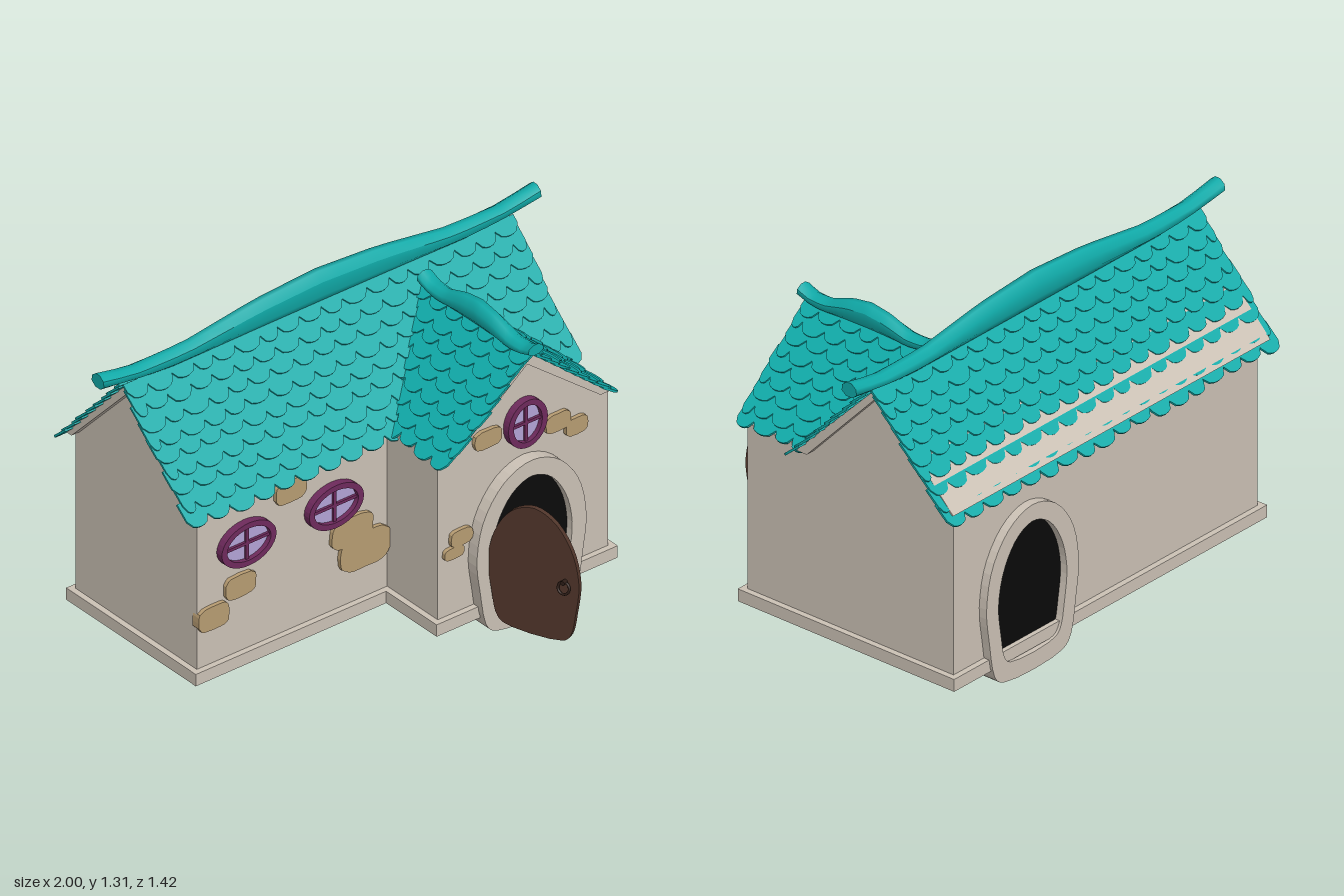
import * as THREE from 'three';

const paint = (name, color, side = THREE.FrontSide) => {
  const m = new THREE.MeshStandardMaterial({ color, side });
  m.name = name;
  return m;
};
const V = (x, y) => new THREE.Vector2(x, y);

// seeded random for uneven shingles and stones
let seed = 7;
const rnd = () => (seed = (seed * 16807) % 2147483647) / 2147483647;

// smooth symmetric outline from half-width/height pairs, bottom to top
function eggPoints(half) {
  const pts = [...half.map(([x, y]) => new THREE.Vector3(x, y, 0)),
    ...half.slice(0, -1).reverse().map(([x, y]) => new THREE.Vector3(-x, y, 0))];
  return new THREE.CatmullRomCurve3(pts, true, 'centripetal').getPoints(48).slice(0, -1).map(p => V(p.x, p.y));
}
const ARCH = [[0.15, 0.003], [0.2, 0.035], [0.236, 0.2], [0.25, 0.34], [0.215, 0.5], [0.12, 0.62], [0, 0.662]];
const OPENING = [[0.12, 0.073], [0.15, 0.1], [0.172, 0.2], [0.185, 0.33], [0.155, 0.46], [0.085, 0.56], [0, 0.595]];

function ellipse(rx, ry) {
  return Array.from({ length: 32 }, (_, i) => V(rx * Math.cos(i * Math.PI / 16), ry * Math.sin(i * Math.PI / 16)));
}

function extrude(points, depth, hole) {
  const shape = new THREE.Shape(points);
  if (hole) shape.holes.push(new THREE.Path(hole));
  return new THREE.ExtrudeGeometry(shape, { depth, bevelEnabled: false });
}

// L-shaped ground plan grown outwards by d (y is -z)
const plan = d => [V(-0.83 - d, -0.03 - d), V(0.04 - d, -0.03 - d), V(0.04 - d, -0.315 - d),
  V(0.82 + d, -0.315 - d), V(0.82 + d, 0.655 + d), V(-0.83 - d, 0.655 + d)];

const lerpList = (list, t) => {
  let i = 1;
  while (i < list.length - 1 && t > list[i][0]) i++;
  const [a, b] = [list[i - 1], list[i]];
  return THREE.MathUtils.lerp(a[1], b[1], (t - a[0]) / (b[0] - a[0]));
};

// ridge cap: an octagonal bar with a humped middle and lifted ends, along x
function ridgeGeometry(halfLength, scale) {
  const top = [[0, 0.13], [0.28, 0.112], [0.6, 0.065], [0.85, 0.062], [1, 0.092]];
  const base = [[0, 0], [0.7, 0], [1, 0.035]];
  const g = new THREE.CylinderGeometry(1, 1, 2, 8, 24, false, Math.PI / 8).rotateZ(Math.PI / 2);
  const p = g.attributes.position;
  for (let i = 0; i < p.count; i++) {
    const t = Math.min(1, Math.abs(p.getX(i)));
    const lo = lerpList(base, t) * scale, hi = lerpList(top, t) * scale;
    const s = p.getY(i) / 0.924;
    const taper = s > 0 ? 1 - 0.2 * s : 1;
    p.setXYZ(i, p.getX(i) * halfLength, (lo + hi) / 2 + s * (hi - lo) / 2, p.getZ(i) * 0.038 * taper);
  }
  g.computeVertexNormals();
  return g;
}

// one course of round-ended shingles from u0 to u1, tips near y = 0
function shingleRow(u0, u1, height, shift) {
  const n = Math.max(2, Math.round((u1 - u0) / 0.098));
  const w = (u1 - u0) / n;
  const pts = [V(u1, height), V(u0, height)];
  const edges = [u0];
  for (let k = 0; k < n; k++) {
    const e = u0 + w * (k + shift) + (rnd() - 0.5) * 0.02;
    if (e > u0 + 0.02 && e < u1 - 0.02) edges.push(e);
  }
  edges.push(u1);
  for (let k = 0; k < edges.length - 1; k++) {
    const drop = (rnd() - 0.5) * 0.014, a = edges[k], b = edges[k + 1];
    for (let j = 0; j <= 6; j++) {
      const s = j / 6;
      pts.push(V(a + (b - a) * (0.01 + 0.98 * s), 0.03 + drop - 0.034 * Math.sqrt(Math.max(0, 1 - (2 * s - 1) ** 2))));
    }
  }
  return extrude(pts, 0.009);
}

export function createModel() {
  const model = new THREE.Group();
  const plaster = paint('plaster', 0xcbc1b5, THREE.DoubleSide);
  const teal = paint('teal shingle', 0x10aaa8, THREE.DoubleSide);
  const wood = paint('dark wood', 0x50352a);
  const iron = paint('dark iron', 0x2c1c16);
  const plum = paint('plum frame', 0x6e2a5c);
  const glass = paint('lilac glass', 0xb3a3d6);
  const stone = paint('tan stone', 0xb79c72);
  const dark = paint('doorway black', 0x0a0a0a);

  const add = (name, geometry, material, x = 0, y = 0, z = 0, parent = model) => {
    const m = new THREE.Mesh(geometry, material);
    m.name = name;
    m.position.set(x, y, z);
    parent.add(m);
    return m;
  };

  // hollow walls and base skirt
  add('walls', extrude(plan(0), 0.72, plan(-0.012)).rotateX(-Math.PI / 2), plaster, 0, 0.07);
  add('skirt', extrude(plan(0.024), 0.05, plan(-0.004)).rotateX(-Math.PI / 2), plaster, 0, 0.07);

  // gable ends and the plaster layer under each roof
  const RZ = -0.315, WX = 0.43;
  const mainGable = () => extrude([V(-0.345, 0.785), V(0.345, 0.785), V(0, 1.14)], 0.012).rotateY(Math.PI / 2);
  add('leftGable', mainGable(), plaster, 0.808, 0, RZ);
  add('rightGable', mainGable(), plaster, -0.83, 0, RZ);
  add('wingGable', extrude([V(-0.39, 0.785), V(0.39, 0.785), V(0, 1.08)], 0.012), plaster, WX, 0, 0.303);
  const chevron = (w, apex, inner, len) => extrude([V(-w, 0.79), V(-w + 0.05, 0.79), V(0, inner),
    V(w - 0.05, 0.79), V(w, 0.79), V(0, apex)], len);
  add('mainRoofLining', chevron(0.37, 1.168, 1.13, 1.72).rotateY(Math.PI / 2), plaster, -0.865, 0, RZ);
  add('wingRoofLining', chevron(0.385, 1.105, 1.055, 0.36), plaster, WX, 0, -0.02);

  // shingled slopes; ends(v) gives the span of a course v below the ridge
  function slope(name, x, y, z, yaw, run, drop, ends) {
    const g = new THREE.Group();
    g.name = name;
    g.position.set(x, y, z);
    g.rotation.set(-Math.atan2(run, drop), yaw, 0, 'YXZ');
    const length = Math.hypot(run, drop), rows = 9, step = length / rows;
    for (let i = 0; i < rows; i++) {
      const v = length - i * step;
      const [u0, u1] = ends(v * drop / length);
      const height = Math.min(step * 1.7, v);
      const row = add('shingleRow', shingleRow(u0, u1, height, i % 2 ? 0.5 : 1), teal, 0, -v, 0.008, g);
      row.rotation.x = -0.1;
    }
    model.add(g);
  }
  const jag = () => (rnd() - 0.5) * 0.015;
  slope('frontRoof', 0, 1.172, RZ, 0, 0.4, 0.415, () => [-0.9 + jag(), 0.885 + jag()]);
  slope('backRoof', 0, 1.172, RZ, Math.PI, 0.385, 0.425, () => [-0.885 + jag(), 0.9 + jag()]);
  const valley = d => RZ + (0.062 + d) * 0.964 - 0.05;
  slope('wingLeftRoof', WX, 1.11, 0, Math.PI / 2, 0.4, 0.34, d => [-0.372 + jag(), -valley(d)]);
  slope('wingRightRoof', WX, 1.11, 0, -Math.PI / 2, 0.4, 0.34, d => [valley(d), 0.372 + jag()]);

  // ridge caps
  add('mainRidge', ridgeGeometry(1, 1), teal, 0, 1.168, RZ - 0.005);
  add('wingRidge', ridgeGeometry(0.315, 0.76).rotateY(Math.PI / 2), teal, WX - 0.005, 1.098, 0.08);

  // front and back doorways with a floor between them
  const opening = eggPoints(OPENING), arch = eggPoints(ARCH);
  for (const [name, z, inner] of [['front', 0.262, 0.255], ['back', -0.69, -0.66]]) {
    add(name + 'Arch', extrude(arch, 0.103, opening), plaster, WX, 0, z);
    add(name + 'Doorway', extrude(opening, 0.08), dark, WX, 0, inner);
  }
  add('passageFloor', new THREE.BoxGeometry(0.34, 0.012, 0.87), plaster, WX, 0.073, -0.165);

  // open door with a ring handle on each face
  const door = new THREE.Group();
  door.name = 'door';
  door.position.set(0.31, 0, 0.53);
  door.rotation.y = -1.19;
  model.add(door);
  add('doorLeaf', extrude(opening, 0.018), wood, 0, 0, -0.009, door);
  for (const s of [-1, 1]) {
    const ring = add('handleRing', new THREE.TorusGeometry(0.023, 0.005, 8, 20), iron, 0.13, 0.305, s * 0.022, door);
    ring.rotation.x = s * -0.25;
    const knob = add('handleBoss', new THREE.CylinderGeometry(0.009, 0.009, 0.024, 10), iron, 0.13, 0.328, s * 0.018, door);
    knob.rotation.x = Math.PI / 2;
  }

  // oval windows
  for (const [x, y, z, rx, ry] of [[-0.615, 0.577, 0.03, 0.125, 0.09], [-0.215, 0.574, 0.03, 0.125, 0.09],
    [0.43, 0.805, 0.315, 0.09, 0.099]]) {
    const w = new THREE.Group();
    w.name = 'window';
    w.position.set(x, y, z);
    model.add(w);
    add('windowFrame', extrude(ellipse(rx, ry), 0.045, ellipse(rx - 0.025, ry - 0.023)), plum, 0, 0, -0.015, w);
    add('pane', extrude(ellipse(rx - 0.022, ry - 0.02), 0.009), glass, 0, 0, 0.002, w);
    add('crossBar', new THREE.BoxGeometry(2 * rx - 0.04, 0.012, 0.014), plum, 0, 0, 0.014, w);
    add('uprightBar', new THREE.BoxGeometry(0.014, 2 * ry - 0.04, 0.014), plum, 0, 0, 0.014, w);
  }

  // rounded stones set into the plaster: x, y, half width, half height
  const stoneShape = (rx, ry) => Array.from({ length: 24 }, (_, i) => {
    const a = i * Math.PI / 12, c = Math.cos(a), s = Math.sin(a), k = 0.97 + rnd() * 0.06;
    return V(rx * k * Math.sign(c) * Math.abs(c) ** 0.6, ry * k * Math.sign(s) * Math.abs(s) ** 0.6);
  });
  const setStones = (list, z) => list.forEach(([x, y, rx, ry]) =>
    add('wallStone', extrude(stoneShape(rx, ry), 0.036), stone, x, y, z - 0.02));
  setStones([[-0.41, 0.712, 0.07, 0.047], [-0.64, 0.405, 0.07, 0.047], [-0.763, 0.32, 0.07, 0.05],
    [-0.13, 0.43, 0.095, 0.06], [-0.07, 0.33, 0.115, 0.075]], 0.03);
  setStones([[0.26, 0.803, 0.062, 0.038], [0.58, 0.745, 0.057, 0.038], [0.665, 0.695, 0.05, 0.036],
    [0.14, 0.437, 0.05, 0.033], [0.105, 0.383, 0.045, 0.024]], 0.315);

  return model;
}
